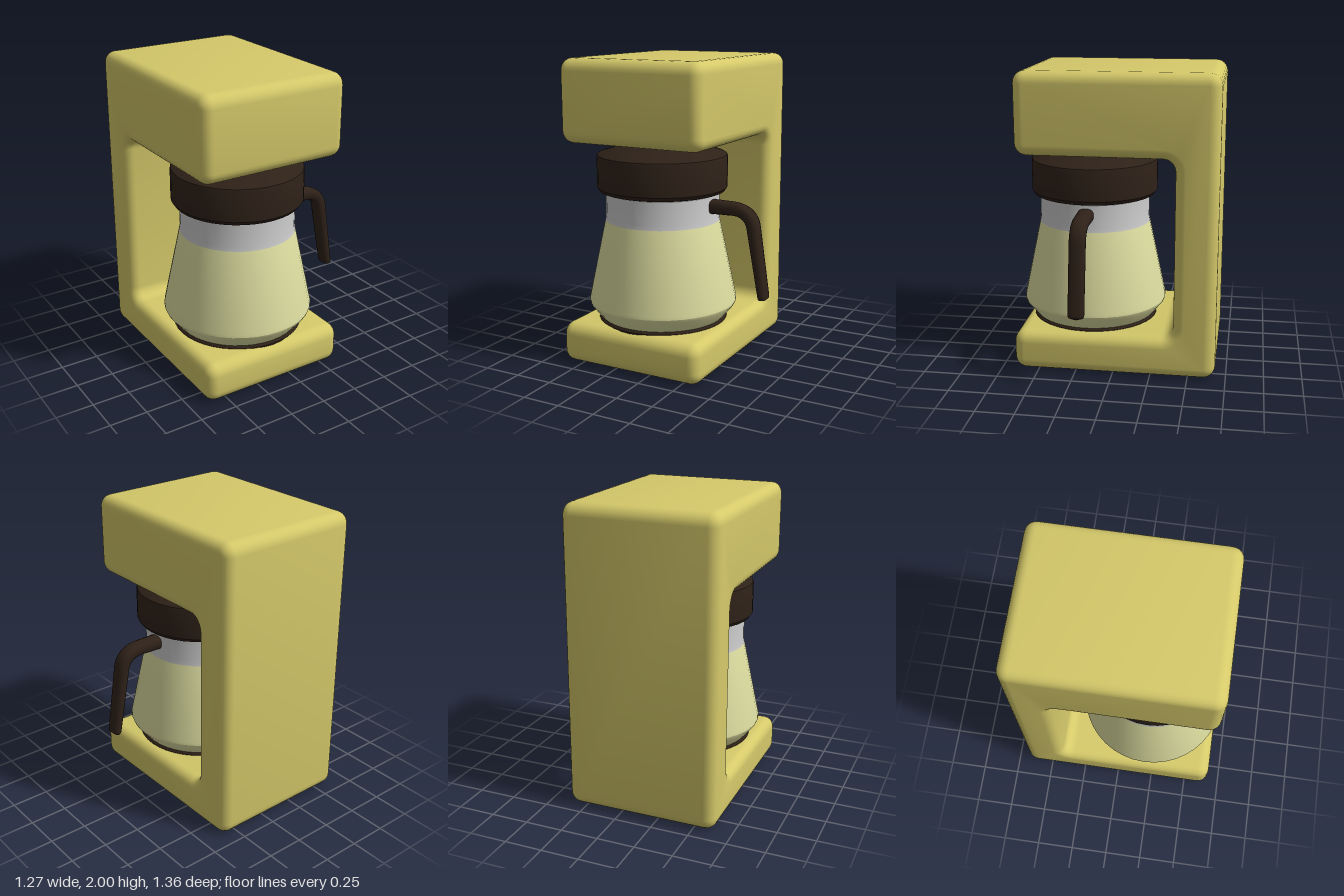
import * as THREE from 'three';
import { toCreasedNormals } from 'three/addons/utils/BufferGeometryUtils.js';

const mat = (color) => new THREE.MeshStandardMaterial({ color });
const POT_X = -0.135, POT_Z = 0.19;

function part(name, geometry, material, crease = 0.6) {
  const mesh = new THREE.Mesh(toCreasedNormals(geometry, crease), material);
  mesh.name = name;
  return mesh;
}

// Closed outline with every corner rounded by radius r
function roundedOutline(corners, r) {
  const shape = new THREE.Shape();
  const v = corners.map(([x, y]) => new THREE.Vector2(x, y));
  v.forEach((p, i) => {
    const toward = (q) => q.clone().sub(p).setLength(r).add(p);
    const a = toward(v[(i + v.length - 1) % v.length]);
    const b = toward(v[(i + 1) % v.length]);
    const k = 0.552; // circular-arc handle length
    const c1 = a.clone().lerp(p, k), c2 = b.clone().lerp(p, k);
    if (i === 0) shape.moveTo(a.x, a.y);
    else shape.lineTo(a.x, a.y);
    shape.bezierCurveTo(c1.x, c1.y, c2.x, c2.y, b.x, b.y);
  });
  shape.closePath();
  return shape;
}

// C-shaped housing: profile in (z, y), extruded across x
function housingGeometry() {
  const bevel = 0.07, width = 1.01;
  const shape = roundedOutline([
    [-0.68, 0], [0.665, 0], [0.665, 0.27], [-0.4, 0.27],
    [-0.4, 1.46], [0.635, 1.46], [0.635, 2], [-0.68, 2],
  ], 0.08);
  const depth = width - 2 * bevel;
  const geo = new THREE.ExtrudeGeometry(shape, {
    depth, curveSegments: 6, bevelEnabled: true, bevelSegments: 6,
    bevelThickness: bevel, bevelSize: bevel, bevelOffset: -bevel,
  });
  return geo.translate(0, 0, -depth / 2).rotateY(-Math.PI / 2).translate(POT_X, 0, 0);
}

const lathe = (points) =>
  new THREE.LatheGeometry(points.map(([r, y]) => new THREE.Vector2(r, y)), 40);

// Bent handle: a tube flattened and tapered toward its lower tip
function handleGeometry() {
  const path = new THREE.CurvePath();
  const p = (x, y) => new THREE.Vector3(x, y, 0);
  path.add(new THREE.LineCurve3(p(0.2, 1.055), p(0.38, 1.055)));
  path.add(new THREE.CubicBezierCurve3(p(0.38, 1.055), p(0.46, 1.055), p(0.513, 1.02), p(0.527, 0.95)));
  path.add(new THREE.LineCurve3(p(0.527, 0.95), p(0.607, 0.472)));
  const rings = 64, sides = 16;
  const geo = new THREE.TubeGeometry(path, rings, 1, sides, false);
  const pos = geo.attributes.position;
  const length = path.getLength();
  const v = new THREE.Vector3();
  for (let i = 0; i <= rings; i++) {
    const c = path.getPointAt(i / rings);
    const fromTip = (1 - i / rings) * length;
    const round = Math.sqrt(Math.max(0, 1 - Math.max(0, 1 - fromTip / 0.03) ** 2));
    const half = THREE.MathUtils.lerp(0.047, 0.028, i / rings) * round;
    const halfWide = 0.053 * (0.45 + 0.55 * round) * (round > 0 ? 1 : 0);
    for (let j = 0; j <= sides; j++) {
      const n = i * (sides + 1) + j;
      v.fromBufferAttribute(pos, n).sub(c);
      const inPlane = Math.hypot(v.x, v.y);
      // squared-off oval section
      const s = Math.pow(inPlane ** 3 + Math.abs(v.z) ** 3, -1 / 3);
      pos.setXYZ(n, c.x + v.x * s * half, c.y + v.y * s * half, v.z * s * halfWide);
    }
  }
  return geo;
}

export function createModel() {
  const model = new THREE.Group();
  model.name = 'coffeeMaker';
  const yellow = mat(0xd5c96a), dark = mat(0x2e2118);
  const glass = mat(0xcccccc), liquid = mat(0xdfdfa2);
  glass.side = THREE.DoubleSide;

  model.add(part('housing', housingGeometry(), yellow));

  // Carafe parts share one vertical axis
  const carafe = new THREE.Group();
  carafe.name = 'carafe';
  carafe.position.set(POT_X, 0, POT_Z);
  carafe.add(
    part('warmingPlate', lathe([[0, 0.26], [0.43, 0.26], [0.43, 0.272], [0.415, 0.288], [0, 0.288]]), dark, 0.4),
    part('filledGlass', lathe([
      [0, 0.285], [0.415, 0.285], [0.485, 0.37], [0.493, 0.39], [0.492, 0.41], [0.38, 0.94],
    ]), liquid, 0.4),
    part('glassNeck', lathe([[0.38, 0.94], [0.375, 0.97], [0.375, 1.12], [0.385, 1.14]]), glass, 0.4),
    part('lid', lathe([
      [0, 1.13], [0.395, 1.13], [0.412, 1.135], [0.43, 1.16], [0.43, 1.36],
      [0.426, 1.373], [0.413, 1.381], [0.25, 1.432], [0.235, 1.435], [0, 1.435],
    ]), dark, 0.5),
  );
  model.add(carafe);

  const handle = part('handle', handleGeometry(), dark, 0.7);
  handle.position.z = POT_Z;
  model.add(handle);
  return model;
}
